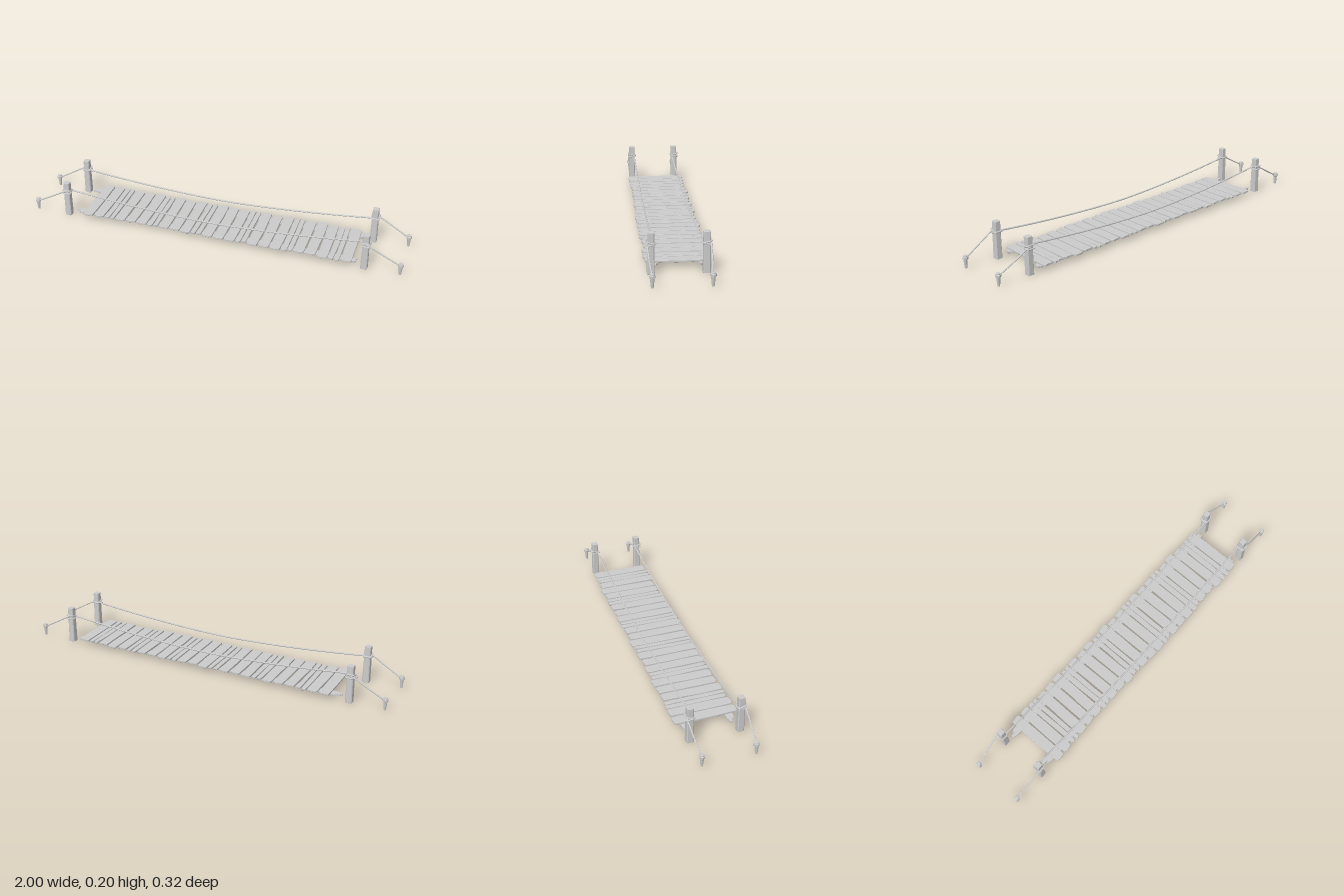
import * as THREE from 'three';

const mat = new THREE.MeshStandardMaterial({ color: 0xcccccc, flatShading: true });
const V = (x, y, z) => new THREE.Vector3(x, y, z);

// Seeded jitter in the range -1..1
let seed = 7;
function jitter() {
  seed = (seed * 16807) % 2147483647;
  return (seed / 2147483647) * 2 - 1;
}

function add(parent, geometry, name, x = 0, y = 0, z = 0) {
  const mesh = new THREE.Mesh(geometry, mat);
  mesh.name = name;
  mesh.position.set(x, y, z);
  parent.add(mesh);
  return mesh;
}

// Flat board lying in xz, from an outline of [x, z] points
function board(points, thickness) {
  const shape = new THREE.Shape(points.map(([x, z]) => new THREE.Vector2(x, -z)));
  const b = 0.001;
  const g = new THREE.ExtrudeGeometry(shape, {
    depth: thickness - 2 * b, bevelThickness: b, bevelSize: b, bevelOffset: -b, bevelSegments: 1,
  });
  return g.rotateX(-Math.PI / 2).translate(0, b, 0);
}

function rope(parent, points, radius, name, segments = 24, closed = false) {
  const curve = new THREE.CatmullRomCurve3(points, closed, 'catmullrom', 0.4);
  return add(parent, new THREE.TubeGeometry(curve, segments, radius, 6, closed), name);
}

// Plank with ragged ends and slightly uneven sides
function plank(width, z0, z1) {
  const w = width / 2;
  const j = () => jitter() * 0.0018;
  return board([
    [-w + 0.003, z1 - 0.004 + j()], [-w * 0.3, z1 + j()], [w * 0.4, z1 - 0.002 + j()],
    [w - 0.003, z1 - 0.005 + j()], [w + j(), z1 - 0.012], [w + j(), 0.04], [w + j(), -0.05],
    [w - 0.002, z0 + 0.008], [w * 0.5, z0 + j()], [-w * 0.2, z0 + 0.003 + j()],
    [-w + 0.003, z0 + 0.003 + j()], [-w + j(), z0 + 0.012], [-w + j(), -0.04], [-w + j(), 0.05],
  ], 0.01);
}

export function createModel() {
  const model = new THREE.Group();
  model.name = 'ropeBridge';
  seed = 7;

  // Walkway: every fourth plank is split lengthwise
  const deck = new THREE.Group();
  deck.name = 'deck';
  model.add(deck);
  const count = 24, start = -0.715, pitch = 1.46 / count;
  for (let i = 0; i < count; i++) {
    const x = start + pitch * (i + 0.5);
    const parts = i % 4 === 2 ? [[-0.0145, 0.026], [0.0145, 0.024]] : [[0, 0.053]];
    for (const [dx, width] of parts) {
      const p = add(deck, plank(width, -0.155 + jitter() * 0.007, 0.153 + jitter() * 0.007),
        'plank', x + dx, 0.0255 + jitter() * 0.0008, 0);
      p.rotation.y = jitter() * 0.012;
    }
  }

  // Stringers under the deck, with splintered ends
  for (const s of [1, -1]) {
    const outline = [
      [-0.765, 0.1], [-0.735, 0.092], [0.74, 0.092], [0.75, 0.1], [0.765, 0.104],
      [0.752, 0.113], [0.762, 0.122], [0.74, 0.131], [-0.73, 0.131], [-0.75, 0.122],
      [-0.74, 0.115], [-0.765, 0.112],
    ].map(([x, z]) => [x, z * s]);
    if (s < 0) outline.reverse();
    add(deck, board(outline, 0.01), 'stringer', 0, 0.0165, 0);
  }

  // Posts, pegs and ropes on each side
  for (const { side, zc } of [{ side: 1, zc: 0.13 }, { side: -1, zc: -0.122 }]) {
    const railing = new THREE.Group();
    railing.name = side > 0 ? 'frontRailing' : 'backRailing';
    model.add(railing);

    const zPeg = zc + side * 0.006;
    const zRail = zc - side * 0.012;
    for (const end of [1, -1]) {
      const x = end * 0.805;

      // Square post with chamfered corners and top
      const h = 0.0172, c = 0.013;
      const section = [[-h, c], [-c, h], [c, h], [h, c], [h, -c], [c, -h], [-c, -h], [-h, -c]];
      const post = board(section, 0.195);
      const pos = post.attributes.position;
      for (let i = 0; i < pos.count; i++) {
        const k = 1 - 0.5 * pos.getY(i);
        pos.setX(i, pos.getX(i) * k);
        pos.setZ(i, pos.getZ(i) * k);
      }
      post.computeVertexNormals();
      add(railing, post, 'post', x, 0, zc);

      // Two slanted turns of rope around the post
      for (const [y, slant] of [[0.148, 0.005], [0.139, -0.004]]) {
        const r = 0.0185;
        const turn = [[1, 1], [0, 1.08], [-1, 1], [-1.08, 0], [-1, -1], [0, -1.08], [1, -1], [1.08, 0]]
          .map(([a, b]) => V(x + a * r, y + b * side * slant, zc + b * r));
        rope(railing, turn, 0.004, 'postLashing', 32, true);
      }

      // Ground peg with a collar and a small head
      const xPeg = end * 0.985;
      const profile = [[0, 0.002], [0.006, 0.002], [0.0105, 0.048], [0.0145, 0.05],
        [0.0145, 0.06], [0.0115, 0.062], [0.011, 0.067], [0, 0.068]];
      add(railing, new THREE.LatheGeometry(profile.map(([a, b]) => new THREE.Vector2(a, b)), 8),
        'peg', xPeg, 0, zPeg);

      // Guy rope from post to peg
      rope(railing, [
        V(x, 0.147, zc + side * 0.019), V(end * 0.826, 0.14, zc + side * 0.017),
        V(end * 0.9, 0.098, zc + side * 0.013), V(end * 0.98, 0.054, zPeg),
      ], 0.0038, 'guyRope', 14);
    }

    // Sagging hand rope
    const points = [];
    for (let i = -8; i <= 8; i++) {
      const t = i / 8;
      points.push(V(t * 0.8, 0.093 + 0.053 * Math.pow(Math.abs(t), 1.7), zRail));
    }
    rope(railing, points, 0.0042, 'handRope', 48);
  }
  return model;
}
